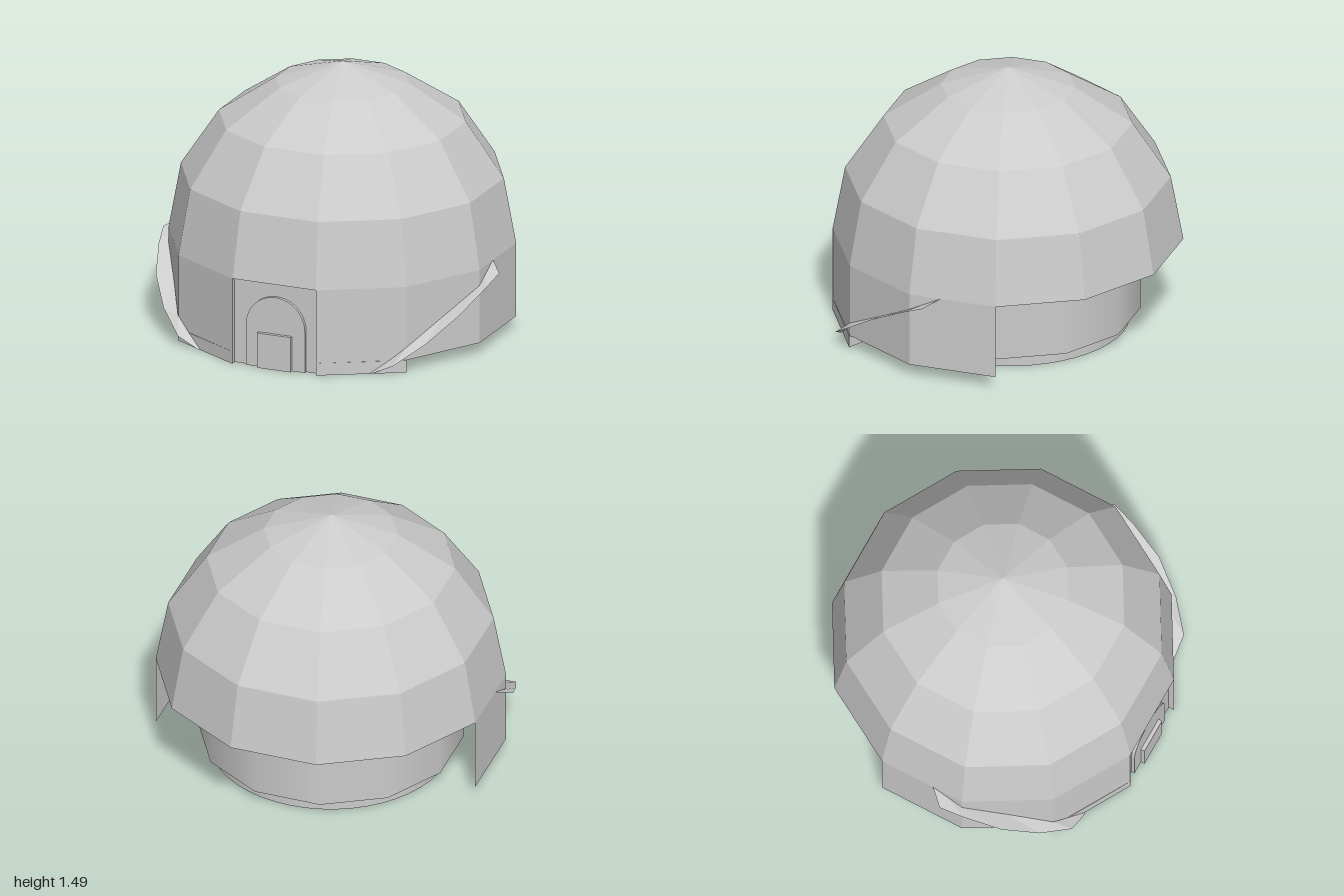
import * as THREE from 'three';
import { toCreasedNormals } from 'three/addons/utils/BufferGeometryUtils.js';

const RAD = Math.PI / 180;
const R = 0.958; // corner radius of the twelve-sided shell
const EAVE = 0.49; // height where the dome starts

export function createModel() {
  const group = new THREE.Group();
  const smooth = new THREE.MeshStandardMaterial({ color: 0xcccccc });
  const flat = new THREE.MeshStandardMaterial({ color: 0xcccccc, flatShading: true });
  const sheet = new THREE.MeshStandardMaterial({ color: 0xcccccc, flatShading: true, side: THREE.DoubleSide });

  const add = (name, geometry, material = flat) => {
    const mesh = new THREE.Mesh(geometry, material);
    mesh.name = name;
    group.add(mesh);
    return mesh;
  };
  const lathe = (points, segments, start = 0) =>
    new THREE.LatheGeometry(points.map(p => new THREE.Vector2(...p)), segments, start);

  // Sheet joining two rows of points
  const strip = (lower, upper) => {
    const pos = [], index = [];
    lower.forEach((p, i) => {
      pos.push(...p, ...upper[i]);
      if (i) {
        const a = 2 * i - 2;
        index.push(a, a + 2, a + 1, a + 1, a + 2, a + 3);
      }
    });
    const g = new THREE.BufferGeometry();
    g.setAttribute('position', new THREE.Float32BufferAttribute(pos, 3));
    g.setIndex(index);
    g.computeVertexNormals();
    return g;
  };

  // Faceted dome with its flat underside
  add('dome', lathe([[0.7, EAVE], [R, EAVE], [0.89, 0.86], [0.68, 1.175], [0.367, 1.38], [0, 1.49]], 12, 15 * RAD));

  // Inner drum under the dome
  const drum = add('drum', new THREE.CylinderGeometry(0.725, 0.725, EAVE - 0.07, 12, 1, false, 15 * RAD), smooth);
  drum.position.y = (EAVE + 0.07) / 2;

  // Round base with a socket in its underside
  add('base', toCreasedNormals(
    lathe([[0, 0.25], [0.23, 0.25], [0.23, 0], [0.665, 0], [0.665, 0.075]], 48), 0.6), smooth);

  // Floor of the front part
  const floor = new THREE.Shape([
    [0.38, -0.53], [0.68, -0.68], [0.25, -0.925], [0.25, -0.89],
    [-0.25, -0.89], [-0.25, -0.925], [-0.68, -0.68], [-0.38, -0.53],
  ].map(p => new THREE.Vector2(...p)));
  add('frontFloor', new THREE.ExtrudeGeometry(floor, { depth: 0.07, bevelEnabled: false }).rotateX(-Math.PI / 2));

  for (const side of [1, -1]) {
    const label = side > 0 ? 'left' : 'right';
    const corner = (deg, y) => [side * R * Math.sin(deg * RAD), y, R * Math.cos(deg * RAD)];

    // Skirt walls: the front one reaches the ground
    for (const [from, to, bottom] of [[15, 45, 0], [45, 75, 0.07], [75, 105, 0.07]]) {
      add(label + 'Wall', strip(
        [corner(from, bottom), corner(to, bottom)],
        [corner(from, EAVE), corner(to, EAVE)]), sheet);
    }

    // Reveal beside the door panel
    add(label + 'Reveal', strip(
      [[side * 0.25, 0, 0.89], [side * 0.25, 0, 0.925]],
      [[side * 0.25, EAVE, 0.89], [side * 0.25, EAVE, 0.925]]), sheet);

    // Slanted fin rising along the wall
    const mirror = ([x, y, z]) => [side * x, y, z];
    const outer = [[0.51, 0, 0.785], [0.64, 0.06, 0.775], [0.78, 0.165, 0.65], [0.9, 0.29, 0.48],
      [0.97, 0.395, 0.28], [1, 0.45, 0.15], [0.927, 0.49, 0.07]];
    const inner = [[0.5, 0, 0.78], [0.6, 0.075, 0.725], [0.68, 0.145, 0.68], [0.8, 0.27, 0.465],
      [0.925, 0.4, 0.25], [0.925, 0.45, 0.15], [0.925, 0.49, 0.07]];
    add(label + 'Fin', strip(inner.map(mirror), outer.map(mirror)), sheet);
  }

  // Recessed panel with a raised arch and a door block
  const box = (name, w, h, z0, z1) =>
    add(name, new THREE.BoxGeometry(w, h, z1 - z0)).position.set(0, h / 2, (z0 + z1) / 2);
  box('doorPanel', 0.51, EAVE, 0.86, 0.892);
  box('door', 0.2, 0.2, 0.88, 0.932);

  const arch = new THREE.Shape();
  arch.moveTo(-0.175, 0);
  arch.lineTo(0.175, 0);
  arch.lineTo(0.175, 0.235);
  arch.absarc(0, 0.235, 0.175, 0, Math.PI, false);
  arch.closePath();
  add('doorArch', new THREE.ExtrudeGeometry(arch, { depth: 0.03, bevelEnabled: false, curveSegments: 12 }))
    .position.z = 0.88;

  // Small pegs under the eave
  for (let i = 0; i < 12; i++) {
    const a = i * 30 * RAD;
    const peg = add('eavePeg', new THREE.CylinderGeometry(0.013, 0.013, 0.03, 8), smooth);
    peg.position.set(0.705 * Math.cos(a), EAVE - 0.01, 0.705 * Math.sin(a));
  }
  return group;
}
